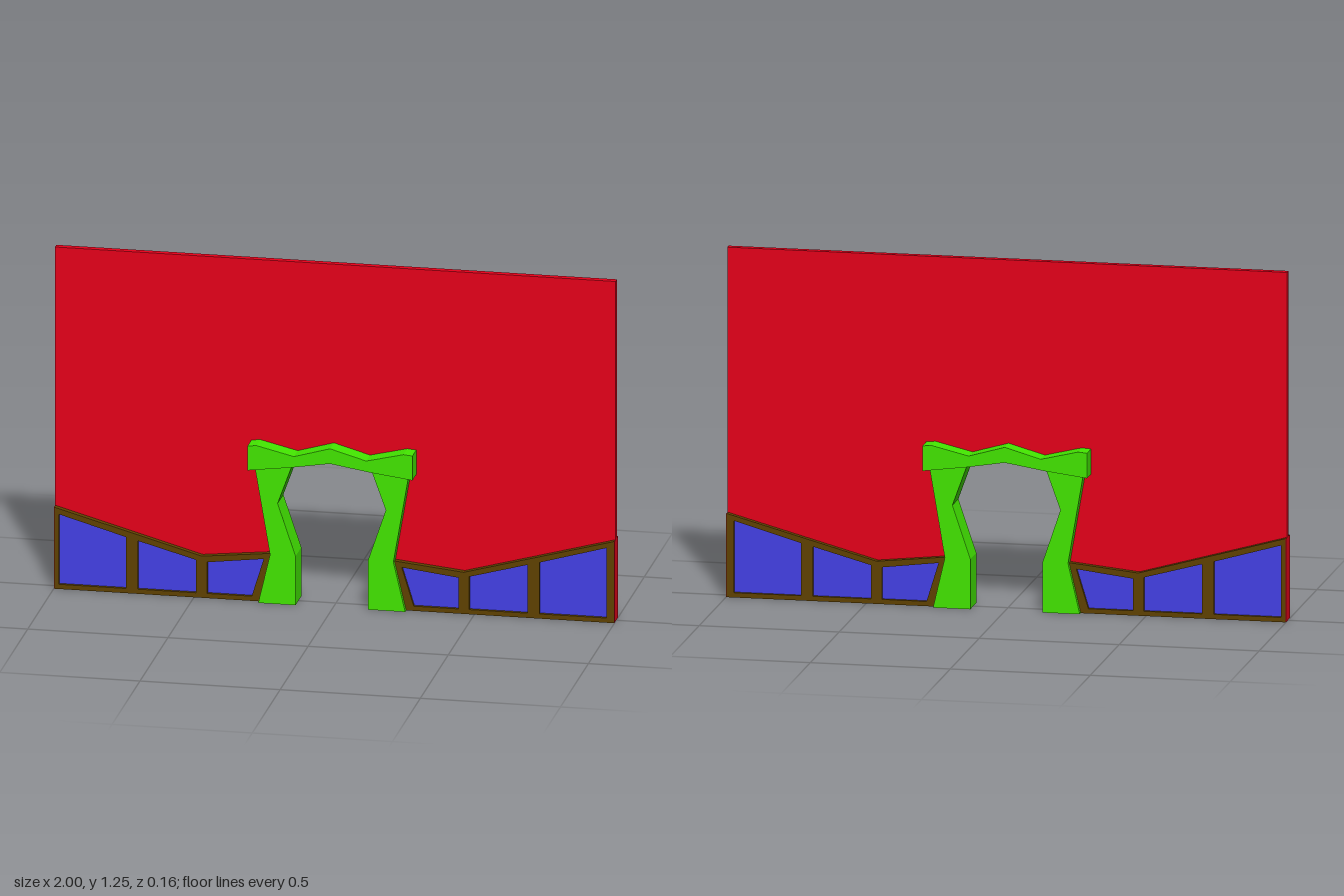
import * as THREE from 'three';

const mat = (name, color) => {
  const m = new THREE.MeshStandardMaterial({ color });
  m.name = name;
  return m;
};

const CX = -0.005; // the doorway sits slightly off centre
const END = 0.998; // outer end of the wainscot frame, before its end plate
const toShape = (pts) => new THREE.Shape(pts.map(([x, y]) => new THREE.Vector2(x, y)));

// Mirror an outline about the doorway axis, keeping its winding and its outer end
const mirror = (pts) => pts.map(([x, y]) => [x === -END ? END : 2 * CX - x, y]).reverse();

// Extrude an outline from z0 to z1
function slab(name, shape, z0, z1, material) {
  const geo = new THREE.ExtrudeGeometry(shape, { depth: z1 - z0, bevelEnabled: false });
  geo.translate(0, 0, z0);
  const mesh = new THREE.Mesh(geo, material);
  mesh.name = name;
  return mesh;
}

export function createModel() {
  const red = mat('wall red', 0xe7001a);
  const green = mat('door frame green', 0x43e700);
  const brown = mat('wood brown', 0x604200);
  const blue = mat('panel blue', 0x4440e7);
  const model = new THREE.Group();
  model.name = 'wallWithDoorway';

  // Wall with doorway cut out; the cut edge hides inside the door frame
  const cut = [[-0.23, 0.002], [-0.19, 0.18], [-0.228, 0.37], [-0.21, 0.54], [-0.134, 0.535]];
  const wall = [[-1, 0.002], ...cut, [CX, 0.565], ...mirror(cut), [1, 0.002], [1, 1.25], [-1, 1.25]];
  model.add(slab('wall', toShape(wall), -0.0125, 0.0125, red));

  // Door posts
  const post = [[-0.267, 0], [-0.134, 0], [-0.134, 0.18], [-0.198, 0.37], [-0.14, 0.53],
    [-0.282, 0.515], [-0.225, 0.18]];
  model.add(slab('rightPost', toShape(post), -0.052, 0.052, green));
  model.add(slab('leftPost', toShape(mirror(post)), -0.052, 0.052, green));

  // Lintel with a wavy top
  const under = [[-0.299, 0.495], [-0.144, 0.515]];
  const top = [[-0.134, 0.556], [-0.267, 0.588], [-0.299, 0.585]];
  const lintel = [...under, [CX, 0.538], ...mirror(under), ...mirror(top), [CX, 0.593], ...top];
  model.add(slab('lintel', toShape(lintel), -0.082, 0.082, green));

  // Wainscot: wooden frame straddling the wall, with three recessed panels on each face
  const frame = [[-END, 0], [-0.255, 0], [-0.215, 0.18], [-0.472, 0.153], [-END, 0.3]];
  const panels = [
    [[-0.982, 0.017], [-0.742, 0.017], [-0.742, 0.206], [-0.982, 0.275]],
    [[-0.7, 0.017], [-0.492, 0.017], [-0.492, 0.138], [-0.7, 0.195]],
    [[-0.453, 0.017], [-0.294, 0.017], [-0.251, 0.157], [-0.453, 0.132]],
  ];
  for (const side of ['right', 'left']) {
    const place = side === 'right' ? (pts) => pts : mirror;
    const shape = toShape(place(frame));
    shape.holes = panels.map((p) => toShape(place(p)));
    model.add(slab(`${side}WainscotFrame`, shape, -0.034, 0.034, brown));
    for (const p of panels) {
      model.add(slab(`${side}FrontPanel`, toShape(place(p)), 0.0125, 0.022, blue));
      model.add(slab(`${side}BackPanel`, toShape(place(p)), -0.022, -0.0125, blue));
    }

    // Thin end plate in the wall colour
    const plate = new THREE.Mesh(new THREE.BoxGeometry(0.002, 0.298, 0.068), red);
    plate.name = `${side}EndPlate`;
    plate.position.set(side === 'right' ? -0.999 : 0.999, 0.15, 0);
    model.add(plate);
  }
  return model;
}
